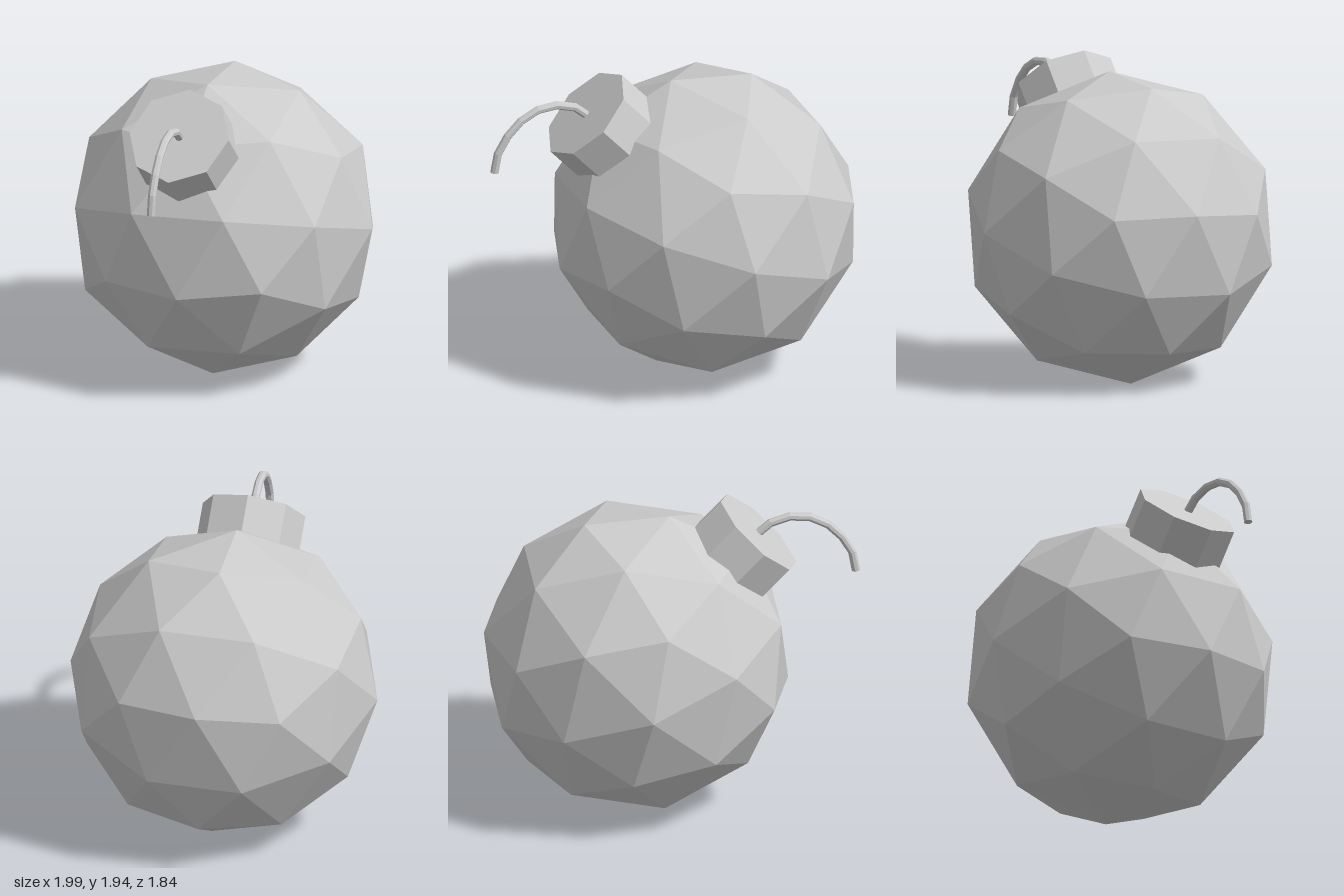
import * as THREE from 'three';

const V = (x, y, z) => new THREE.Vector3(x, y, z);
const CENTER = V(0.07, 0.94, -0.003);

// Turn a group so its local y follows 'up' and its local x follows 'side'
function orient(object, side, up) {
  const y = up.clone().normalize();
  const x = side.clone().addScaledVector(y, -side.dot(y)).normalize();
  const z = x.clone().cross(y);
  object.quaternion.setFromRotationMatrix(new THREE.Matrix4().makeBasis(x, y, z));
}

export function createModel() {
  const model = new THREE.Group();
  const material = new THREE.MeshStandardMaterial({ color: 0xcccccc, flatShading: true });
  const add = (name, geometry, parent = model) => {
    const mesh = new THREE.Mesh(geometry, material);
    mesh.name = name;
    parent.add(mesh);
    return mesh;
  };

  // Faceted ball, tilted by placing two neighbouring corners
  const cornerA = V(0.42, 0.52, 0.67).normalize();
  const cornerB = V(-0.29, -0.15, 0.895).normalize();
  const body = add('body', new THREE.IcosahedronGeometry(0.951, 1));
  body.position.copy(CENTER);
  orient(body, cornerA.clone().sub(cornerB), cornerA.clone().add(cornerB));

  // Eight-sided neck standing on one corner of the ball
  const axis = V(-0.548, 0.73, 0.41).normalize();
  const neckTop = 1.09, neckHeight = 0.255;
  const neck = add('neck', new THREE.CylinderGeometry(0.318, 0.318, neckHeight, 8));
  neck.position.copy(CENTER).addScaledVector(axis, neckTop - neckHeight / 2);
  orient(neck, V(0.4, 0.03, 0.49), axis);

  // Fuse bending outwards and down in one upright plane
  const fuse = new THREE.Group();
  fuse.name = 'fuse';
  model.add(fuse);
  const path = [[-0.51, 1.71], [-0.575, 1.785], [-0.65, 1.82], [-0.74, 1.82],
    [-0.84, 1.76], [-0.92, 1.65], [-0.96, 1.55], [-0.974, 1.44]];
  const curve = new THREE.CatmullRomCurve3(
    path.map(([x, y]) => V(x, y, 0.45 - (x + 0.53) * 0.88)));
  add('fuseCord', new THREE.TubeGeometry(curve, 7, 0.026, 8, false), fuse);

  // Closed tip of the fuse
  const tip = add('fuseTip', new THREE.CircleGeometry(0.026, 8), fuse);
  tip.position.copy(curve.getPointAt(1));
  tip.quaternion.setFromUnitVectors(V(0, 0, 1), curve.getTangentAt(1));

  return model;
}
